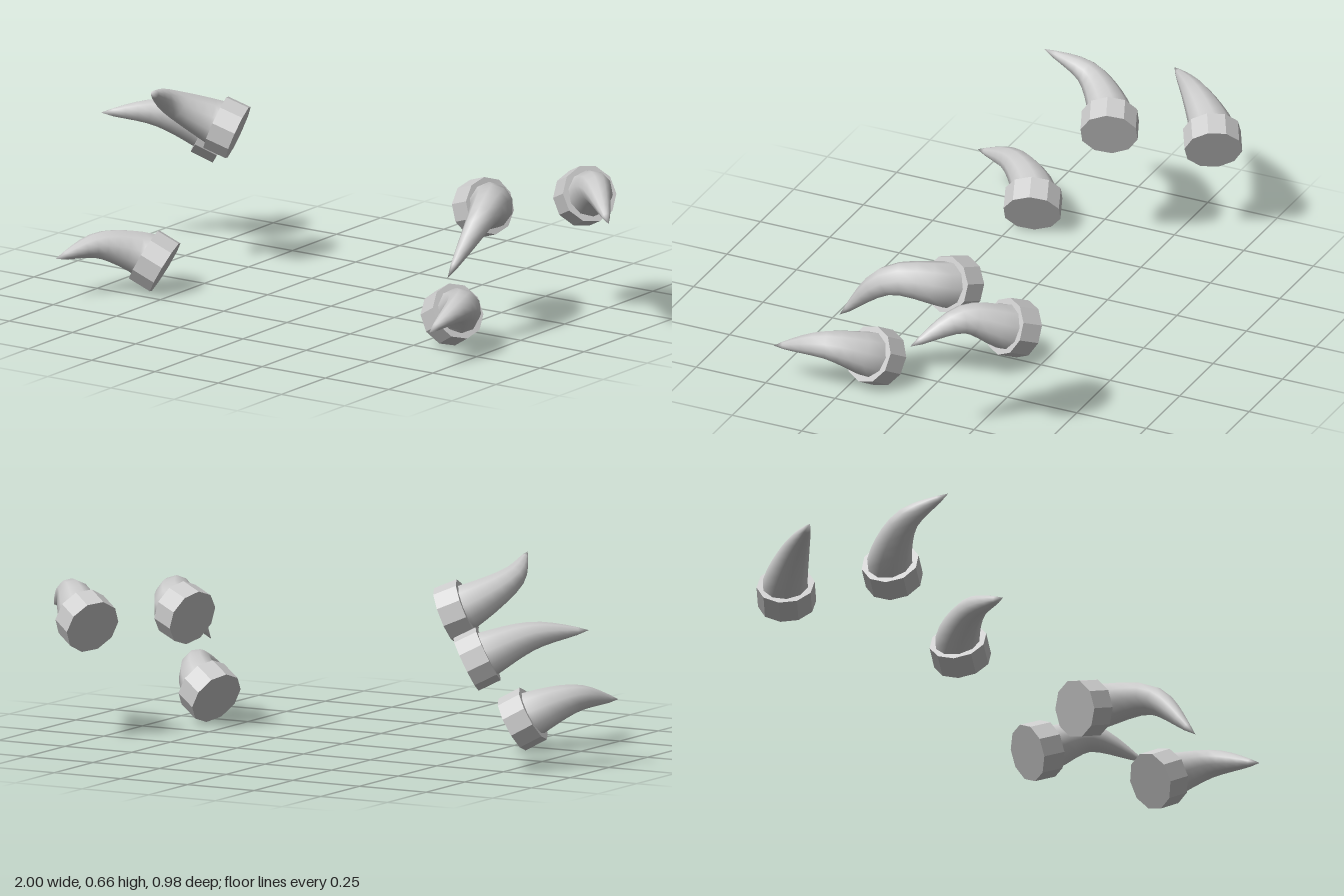
import * as THREE from 'three';
import { mergeVertices } from 'three/addons/utils/BufferGeometryUtils.js';

const SIDES = 10, STEPS = 10;
const CUFF_RADIUS = 0.095, CUFF_LENGTH = 0.08, HORN_RADIUS = 0.083;

// Each horn: cuff centre, cuff axis, a point half way along the bend, tip
const HORNS = [
  ['leftFront', [0.60, 0.104, 0.175], [0.8, 0.47, 0.3], [0.715, 0.17, 0.3], [0.725, 0.13, 0.483]],
  ['leftMiddle', [0.545, 0.40, -0.08], [0.9, 0.32, 0.3], [0.668, 0.435, 0.09], [0.655, 0.257, 0.28]],
  ['leftBack', [0.735, 0.40, -0.385], [0.8, 0.4, 0.45], [0.86, 0.465, -0.27], [1.0, 0.40, -0.14]],
  ['rightFront', [-0.575, 0.104, 0.175], [-0.8, 0.47, 0.3], [-0.70, 0.165, 0.3], [-0.765, 0.145, 0.465]],
  ['rightMiddle', [-0.505, 0.495, -0.135], [-0.85, 0.38, 0.35], [-0.632, 0.59, 0.0], [-0.608, 0.66, 0.15]],
  ['rightBack', [-0.735, 0.39, -0.395], [-0.8, 0.45, 0.45], [-0.87, 0.46, -0.27], [-1.0, 0.47, -0.13]],
];

// Tube along a curve, narrowed ring by ring to a point
function taperedHorn(points) {
  const curve = new THREE.CatmullRomCurve3(points);
  const tube = new THREE.TubeGeometry(curve, STEPS, HORN_RADIUS, SIDES, false);
  const pos = tube.attributes.position, v = new THREE.Vector3();
  for (let i = 0; i <= STEPS; i++) {
    const centre = curve.getPointAt(i / STEPS);
    const scale = Math.pow(1 - i / STEPS, 0.8);
    for (let j = 0; j <= SIDES; j++) {
      const k = i * (SIDES + 1) + j;
      v.fromBufferAttribute(pos, k).sub(centre).multiplyScalar(scale).add(centre);
      pos.setXYZ(k, v.x, v.y, v.z);
    }
  }
  tube.deleteAttribute('uv');
  tube.deleteAttribute('normal');
  const geometry = mergeVertices(tube, 1e-5);
  geometry.computeVertexNormals();
  return geometry;
}

export function createModel() {
  const model = new THREE.Group();
  model.name = 'horns';
  const smooth = new THREE.MeshStandardMaterial({ color: 0xcccccc });
  const faceted = new THREE.MeshStandardMaterial({ color: 0xcccccc, flatShading: true });
  const cuffGeometry = new THREE.CylinderGeometry(CUFF_RADIUS, CUFF_RADIUS, CUFF_LENGTH, SIDES);
  const up = new THREE.Vector3(0, 1, 0);

  for (const [name, c, a, m, t] of HORNS) {
    const [centre, axis, middle, tip] = [c, a, m, t].map(p => new THREE.Vector3(...p));
    axis.normalize();
    const group = new THREE.Group();
    group.name = name + 'Horn';

    // Closed collar at the root
    const cuff = new THREE.Mesh(cuffGeometry, faceted);
    cuff.name = 'cuff';
    cuff.position.copy(centre);
    cuff.quaternion.setFromUnitVectors(up, axis);

    // Curved spike leaving the collar along its axis
    const rim = centre.clone().addScaledVector(axis, CUFF_LENGTH / 2);
    const spike = new THREE.Mesh(taperedHorn([centre, rim, middle, tip]), smooth);
    spike.name = 'spike';

    group.add(cuff, spike);
    model.add(group);
  }
  return model;
}
